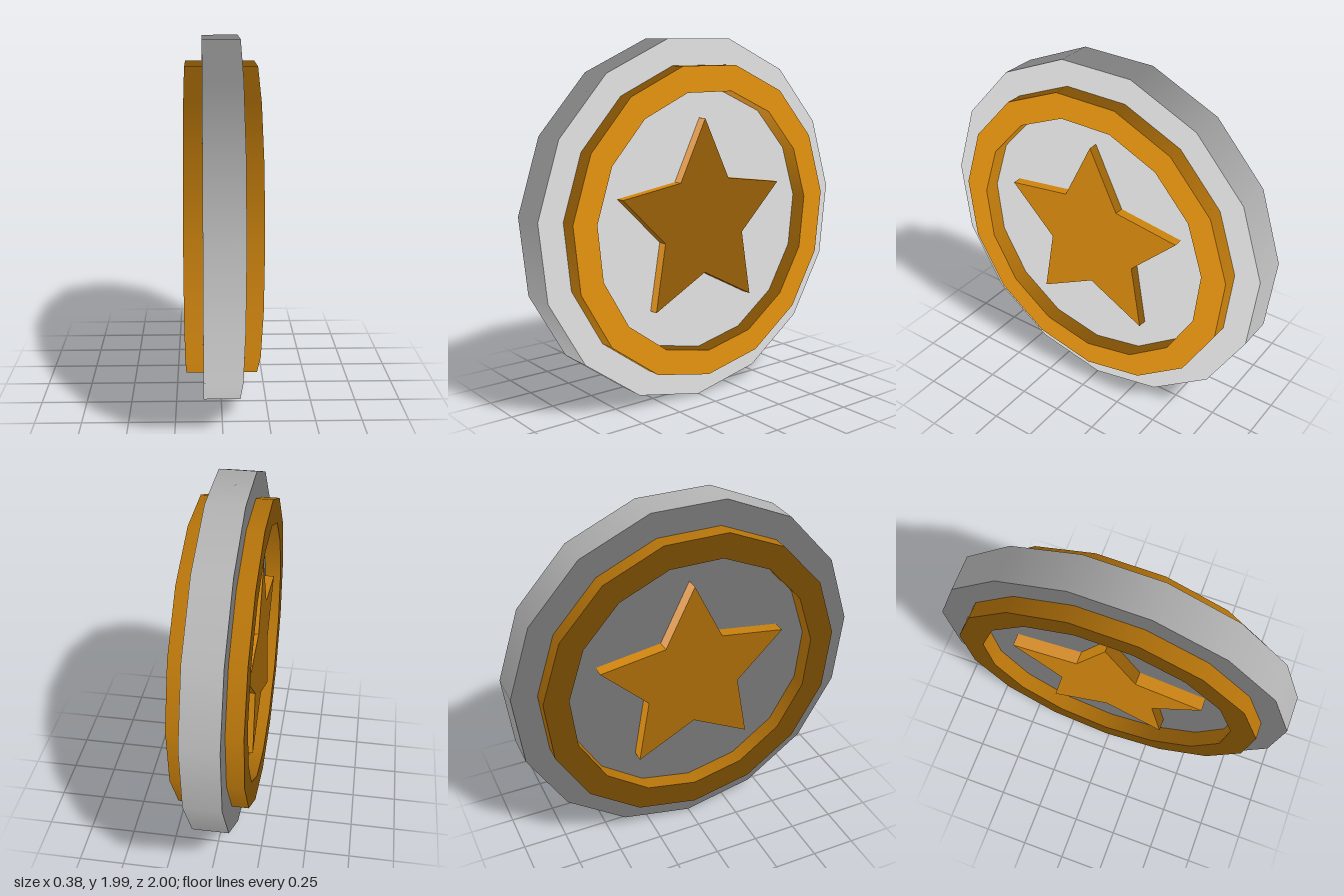
import * as THREE from 'three';
import { mergeGeometries } from 'three/addons/utils/BufferGeometryUtils.js';

const SIDES = 15;
const CENTRE_Y = 1.0055;

// Stands a part upright by turning its points only, so it keeps the shading of the lying part
function stand(geometry, rotation) {
  geometry.attributes.position.applyMatrix4(rotation);
  return geometry;
}

// Lathe each profile segment separately: smooth around the rim, sharp at the profile corners
function turned(profile) {
  const bands = [];
  for (let i = 0; i < profile.length - 1; i++) {
    const pts = [profile[i], profile[i + 1]].map(([r, y]) => new THREE.Vector2(r, y));
    bands.push(new THREE.LatheGeometry(pts, SIDES, Math.PI / 2));
  }
  return stand(mergeGeometries(bands), new THREE.Matrix4().makeRotationZ(-Math.PI / 2));
}

function starGeometry(outer, inner, back, front) {
  const shape = new THREE.Shape();
  for (let i = 0; i < 10; i++) {
    const r = i % 2 ? inner : outer;
    const a = Math.PI / 2 + (i * Math.PI) / 5;
    shape[i ? 'lineTo' : 'moveTo'](r * Math.cos(a), r * Math.sin(a));
  }
  shape.closePath();
  const geo = new THREE.ExtrudeGeometry(shape, { depth: front - back, bevelEnabled: false });
  geo.translate(0, 0, back);
  return stand(geo, new THREE.Matrix4().makeRotationY(-Math.PI / 2));
}

export function createModel() {
  const group = new THREE.Group();
  group.name = 'starCoin';
  const grey = new THREE.MeshStandardMaterial({ color: 0xcccccc });
  const gold = new THREE.MeshStandardMaterial({ color: 0xce840d });

  const add = (name, geometry, material) => {
    const mesh = new THREE.Mesh(geometry, material);
    mesh.name = name;
    mesh.position.y = CENTRE_Y;
    group.add(mesh);
  };

  // Coin body
  const R = 1.0055, h = 0.1;
  add('disc', turned([[0, -h], [R, -h], [R, h], [0, h]]), grey);

  // Raised ring, standing out on both faces
  const ro = 0.863, ri = 0.722, t = 0.192;
  add('ring', turned([[ri, -t], [ro, -t], [ro, t], [ri, t], [ri, -t]]), gold);

  // Star running through the disc, showing on both faces
  add('star', starGeometry(0.565, 0.283, -0.153, 0.17), gold);

  return group;
}
